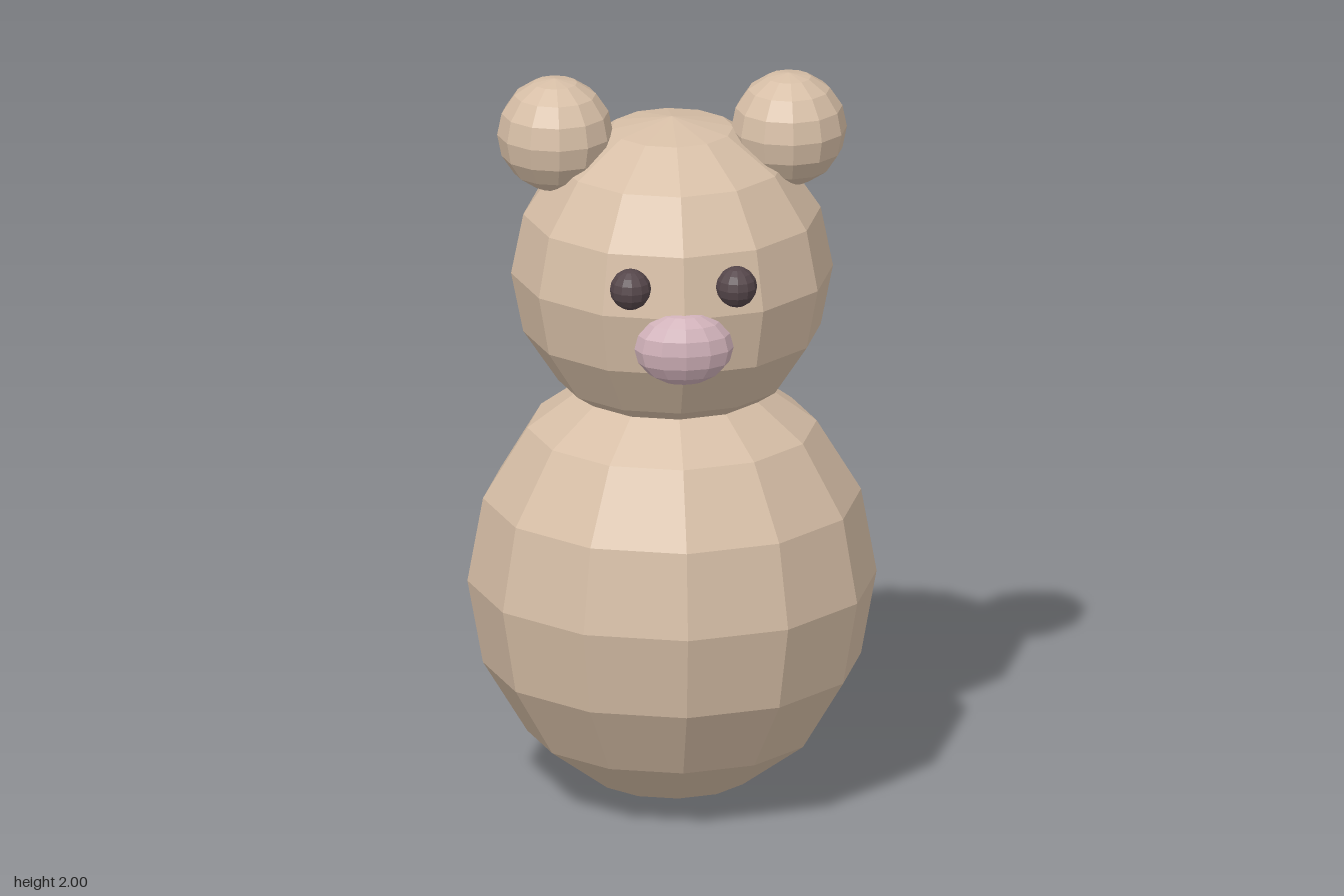
import * as THREE from 'three';

export function createModel() {
  const flat = (name, color) => {
    const m = new THREE.MeshStandardMaterial({ color, flatShading: true });
    m.name = name;
    return m;
  };
  const fur = flat('tan fur', 0xd6bea6);
  const pink = flat('pink muzzle', 0xcfb0b8);
  const dark = flat('dark eyes', 0x55464a);

  const bear = new THREE.Group();
  bear.name = 'bear';

  // Faceted ellipsoid shared by every part
  const ball = new THREE.SphereGeometry(1, 12, 8);
  const addBall = (name, material, position, radii) => {
    const mesh = new THREE.Mesh(ball, material);
    mesh.name = name;
    mesh.position.set(...position);
    mesh.scale.set(...radii);
    bear.add(mesh);
  };

  addBall('body', fur, [0, 0.6, 0], [0.544, 0.6, 0.544]);
  addBall('head', fur, [0, 1.458, 0], [0.428, 0.428, 0.428]);
  addBall('muzzle', pink, [0, 1.375, 0.408], [0.132, 0.1, 0.082]);

  // Mirrored ears and eyes
  for (const [side, s] of [['left', 1], ['right', -1]]) {
    addBall(side + 'Ear', fur, [s * 0.311, 1.846, 0], [0.154, 0.154, 0.154]);
    addBall(side + 'Eye', dark, [s * 0.141, 1.537, 0.39], [0.055, 0.055, 0.055]);
  }
  return bear;
}
